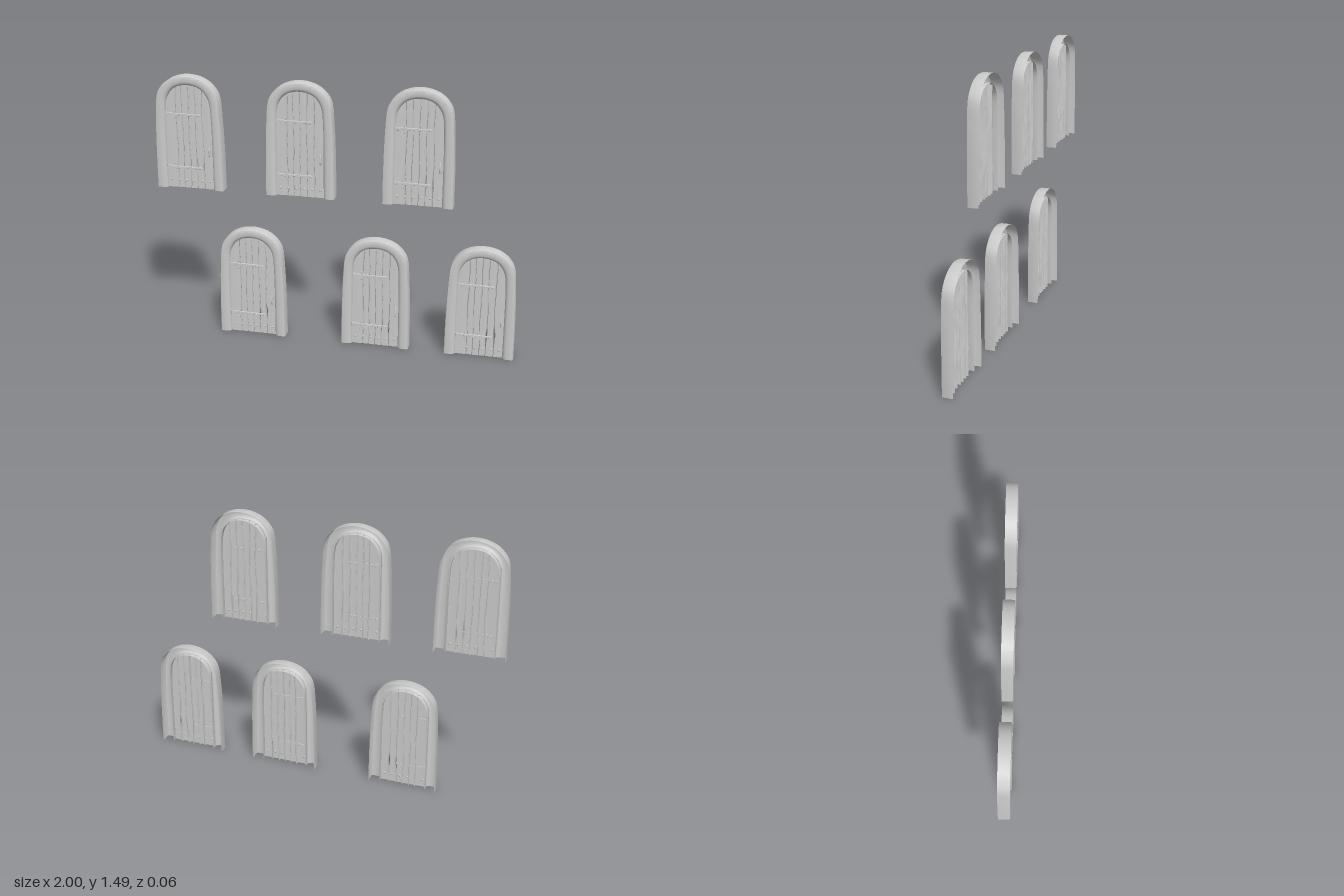
import * as THREE from 'three';
import { toCreasedNormals } from 'three/addons/utils/BufferGeometryUtils.js';

const material = new THREE.MeshStandardMaterial({ color: 0xcccccc, side: THREE.DoubleSide });

function add(parent, name, geometry, x = 0, y = 0, z = 0) {
  const mesh = new THREE.Mesh(geometry, material);
  mesh.name = name;
  mesh.position.set(x, y, z);
  parent.add(mesh);
  return mesh;
}

// Open surface through a grid of points; point(i, j) returns [x, y, z]
function surface(ni, nj, point) {
  const pos = [], index = [];
  for (let i = 0; i < ni; i++) for (let j = 0; j < nj; j++) pos.push(...point(i, j));
  for (let i = 0; i < ni - 1; i++) for (let j = 0; j < nj - 1; j++) {
    const a = i * nj + j, b = a + nj;
    index.push(a, b, a + 1, b, b + 1, a + 1);
  }
  const g = new THREE.BufferGeometry();
  g.setAttribute('position', new THREE.Float32BufferAttribute(pos, 3));
  g.setIndex(index);
  return toCreasedNormals(g, 0.6);
}

// Seeded numbers from -1 to 1
function seeded(seed) {
  let s = seed * 7919 + 17;
  return () => {
    s = (s * 16807) % 2147483647;
    return (s / 2147483647) * 2 - 1;
  };
}

// Half outlines of the frame, from the foot to the crown
const outerHalf = [[0.19, 0], [0.188, 0.2], [0.18, 0.42], [0.168, 0.53], [0.14, 0.577], [0.1, 0.61], [0.05, 0.629], [0, 0.635]];
const innerHalf = [[0.13, 0], [0.13, 0.2], [0.128, 0.4], [0.121, 0.49], [0.108, 0.525], [0.083, 0.557], [0.045, 0.577], [0, 0.583]];

function outline(half) {
  const left = half.map(([x, y]) => new THREE.Vector3(-x, y, 0));
  const right = half.slice(0, -1).reverse().map(([x, y]) => new THREE.Vector3(x, y, 0));
  const curve = new THREE.CatmullRomCurve3([...left, ...right], false, 'centripetal');
  return curve.getPoints(42);
}

// Hollow arched frame: outer wall, front with softened edges, inner wall
function frameGeometry() {
  const outer = outline(outerHalf), inner = outline(innerHalf);
  const profile = [[0, -0.032], [0, 0.022], [0.05, 0.028], [0.14, 0.03], [0.66, 0.03],
    [0.84, 0.026], [0.95, 0.019], [1, 0.012], [1, -0.016]];
  return surface(profile.length, outer.length, (i, j) => {
    const [u, z] = profile[i];
    const p = outer[j].clone().lerp(inner[j], u);
    return [p.x, p.y, z];
  });
}

const archTop = (x) => 0.46 + 0.126 * Math.sqrt(Math.max(0, 1 - (x / 0.137) ** 2));

// Six worn planks, open at the back, with uneven gaps between them
function addPlanks(door, seed) {
  const random = seeded(seed), rows = 22;
  const seams = [-0.132, -0.07, -0.036, 0, 0.038, 0.078, 0.132];
  const wobble = seams.map(() => Array.from({ length: rows + 1 }, () => random() * 0.0016));
  const chips = seams.map(() => 0.003 + 0.002 * random());
  const phase = seams.map(() => random() * 3);
  const edge = (k, j, side) => {
    if (k === 0 || k === 6) return seams[k];
    const y = j / rows;
    const chip = k > 3 ? chips[k] * Math.exp(-(((y - 0.24 - 0.02 * phase[k]) / 0.06) ** 2)) : 0;
    return seams[k] + wobble[k][j] + 0.002 * Math.sin(y * 9 + phase[k]) + side * (0.0009 + chip);
  };
  const section = [[0, 0, -0.008], [0, 0, 0.007], [0, 0.002, 0.0105], [0.33, 0, 0.011],
    [0.67, 0, 0.011], [1, -0.002, 0.0105], [1, 0, 0.007], [1, 0, -0.008]];
  for (let k = 0; k < 6; k++) {
    const lift = random() * 0.0012;
    add(door, 'plank', surface(section.length, rows + 1, (i, j) => {
      const [u, inset, z] = section[i];
      const l = edge(k, j, 1), r = edge(k + 1, j, -1);
      const x = l + (r - l) * u + inset;
      const nominal = seams[k] + (seams[k + 1] - seams[k]) * u;
      return [x, (j / rows) * archTop(nominal), z + lift];
    }));
  }
}

// Curled iron leaf used on the hinge straps
function curlGeometry(side) {
  const curve = new THREE.CatmullRomCurve3([
    new THREE.Vector3(-0.008, 0, 0), new THREE.Vector3(0.004, 0.009 * side, 0),
    new THREE.Vector3(0.008, 0.019 * side, 0), new THREE.Vector3(0.002, 0.024 * side, 0),
    new THREE.Vector3(-0.003, 0.019 * side, 0)]);
  return new THREE.TubeGeometry(curve, 12, 0.0028, 6);
}

// Strap hinge with knuckle, tapered strap, curls and rivets
function makeHinge() {
  const hinge = new THREE.Group();
  hinge.name = 'hinge';
  const shape = new THREE.Shape();
  shape.moveTo(-0.125, -0.008);
  shape.lineTo(-0.085, -0.0065);
  shape.lineTo(0.045, -0.0045);
  shape.quadraticCurveTo(0.055, -0.01, 0.066, 0);
  shape.quadraticCurveTo(0.055, 0.01, 0.045, 0.0045);
  shape.lineTo(-0.085, 0.0065);
  shape.lineTo(-0.125, 0.008);
  const strap = new THREE.ExtrudeGeometry(shape, {
    depth: 0.005, bevelThickness: 0.0015, bevelSize: 0.001, bevelSegments: 1, curveSegments: 5 });
  add(hinge, 'strap', strap, 0, 0, 0.011);
  add(hinge, 'knuckle', new THREE.CylinderGeometry(0.0055, 0.0055, 0.022, 10), -0.126, 0, 0.015);
  for (const side of [1, -1]) add(hinge, 'curl', curlGeometry(side), -0.083, 0, 0.0145);
  for (const x of [-0.105, -0.083, -0.03, 0.02, 0.056]) {
    add(hinge, 'rivet', new THREE.SphereGeometry(0.0035, 8, 6), x, 0, 0.0175);
  }
  return hinge;
}

// Pull handle on a back plate, with a keyhole plate above on some doors
function makeHandle(withKeyPlate) {
  const handle = new THREE.Group();
  handle.name = 'handle';
  add(handle, 'backPlate', new THREE.BoxGeometry(0.012, 0.062, 0.004), 0, 0, 0.0125);
  const grip = new THREE.CatmullRomCurve3([
    new THREE.Vector3(0, 0.025, 0.012), new THREE.Vector3(0, 0.017, 0.024),
    new THREE.Vector3(0, -0.017, 0.024), new THREE.Vector3(0, -0.025, 0.012)]);
  add(handle, 'grip', new THREE.TubeGeometry(grip, 14, 0.0035, 7));
  if (withKeyPlate) {
    const plate = new THREE.Shape().absellipse(0, 0, 0.006, 0.009, 0, Math.PI * 2);
    plate.holes.push(new THREE.Path().absellipse(0, 0, 0.002, 0.004, 0, Math.PI * 2, true));
    add(handle, 'keyholePlate', new THREE.ExtrudeGeometry(plate, { depth: 0.003, bevelEnabled: false }), 0, 0.085, 0.011);
  }
  handle.position.set(0.114, 0.214, 0);
  return handle;
}

function makeDoor(index) {
  const door = new THREE.Group();
  door.name = 'door';
  add(door, 'frame', frameGeometry());
  addPlanks(door, index + 1);
  for (const y of [0.118, 0.418]) {
    const hinge = makeHinge();
    hinge.position.y = y;
    door.add(hinge);
  }
  // Row of studs along the foot of the planks
  for (let i = 0; i < 6; i++) {
    const stud = add(door, 'stud', new THREE.SphereGeometry(0.0065, 10, 6), -0.112 + i * 0.0445, 0.044, 0.011);
    stud.scale.z = 0.7;
  }
  door.add(makeHandle(index > 0));
  return door;
}

export function createModel() {
  const model = new THREE.Group();
  model.name = 'doorSet';
  // Upper and lower rows of doors
  const places = [[-0.81, 0.852], [-0.19, 0.852], [0.45, 0.852], [-0.475, 0], [0.23, 0], [0.81, 0]];
  places.forEach(([x, y], i) => {
    const door = makeDoor(i);
    door.position.set(x, y, 0);
    model.add(door);
  });
  return model;
}
